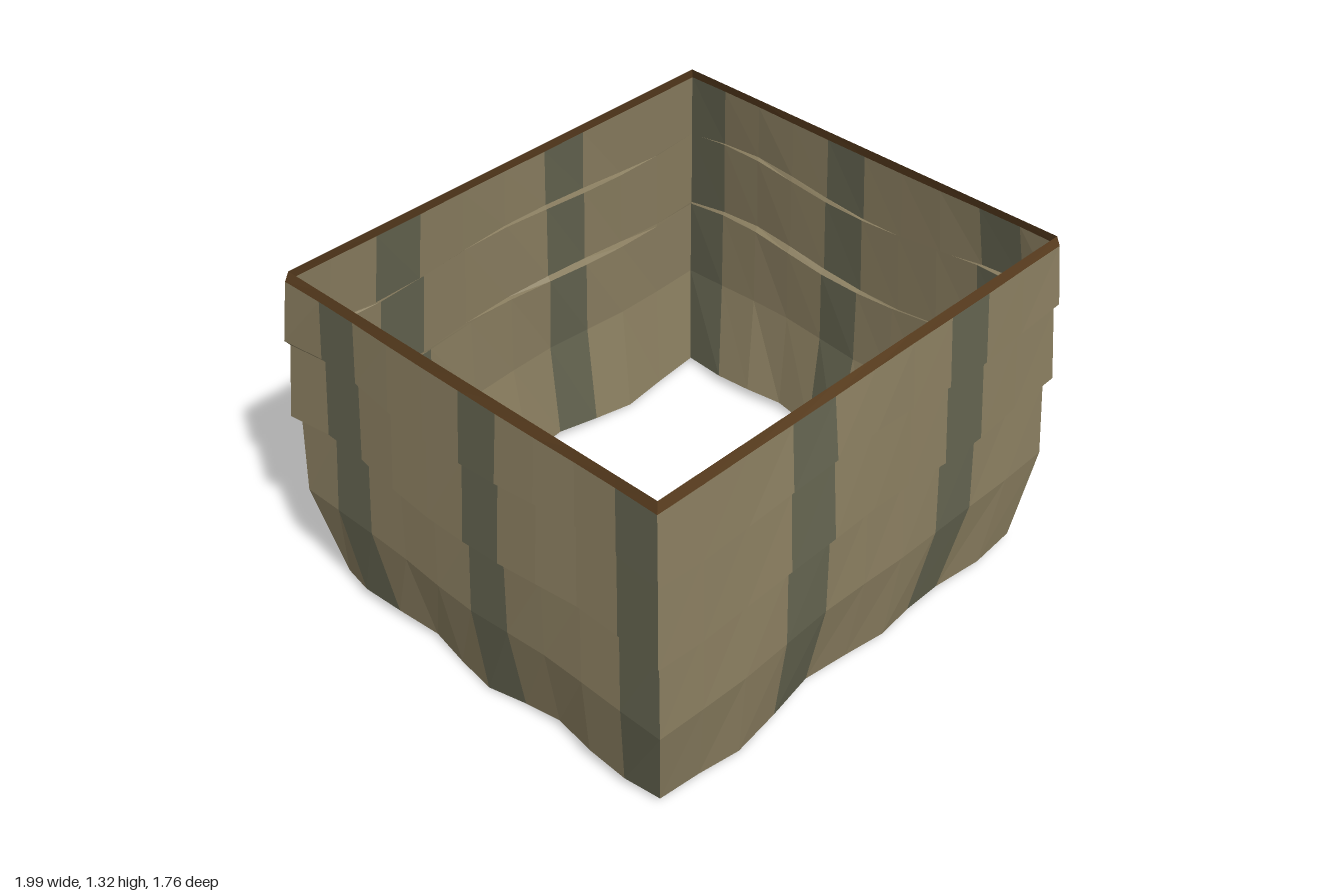
import * as THREE from 'three';

const COLS = 10;            // columns per wall
const N = COLS * 4;         // columns around the whole wrap

// Rows from hem to rim: height, half width x, half depth z,
// height wave, wave phase shift, long fold, short fold
const ROWS = [
  [0.025, 0.903, 0.792, 0.022, 0.3, 0, -0.02],
  [0.405, 0.968, 0.857, 0.014, 0, 0.003, -0.004],
  [0.722, 0.958, 0.846, 0.022, 0.7, 0.006, 0.003],
  [0.723, 0.984, 0.868, 0.028, 0, 0.011, 0.005],
  [1.035, 0.962, 0.848, 0.02, 0.7, 0.005, 0.003],
  [1.036, 0.975, 0.86, 0.026, 0, 0.009, 0.004],
  [1.285, 0.956, 0.841, 0.002, 0, 0.002, 0.001],
  [1.325, 0.945, 0.832, 0, 0, 0, 0],
];

// Point i columns round the wrap (from front -x corner) on a given row
function point(i, row) {
  const [y, hx, hz, wave, shift, long, short] = ROWS[row];
  const turn = (2 * Math.PI) / N;
  const fold = long * Math.cos(5 * turn * (i - 4)) + short * Math.cos(11 * turn * (i - 4));
  const x = hx + fold, z = hz + fold;
  const t = ((i % COLS) / COLS) * 2 - 1;
  const [px, pz] = [[t * x, z], [x, -t * z], [-t * x, -z], [-x, t * z]][Math.floor(i / COLS) % 4];
  return [px, y + wave * Math.cos(6 * turn * (i - 11 - shift)), pz];
}

// Cloth made of every cell the test accepts
function cloth(name, color, accept) {
  const pos = [];
  for (let row = 0; row < ROWS.length - 1; row++) {
    for (let i = 0; i < N; i++) {
      if (!accept(i, row)) continue;
      const a = point(i, row), b = point((i + 1) % N, row);
      const c = point((i + 1) % N, row + 1), d = point(i, row + 1);
      pos.push(...a, ...b, ...c, ...a, ...c, ...d);
    }
  }
  const geo = new THREE.BufferGeometry();
  geo.setAttribute('position', new THREE.Float32BufferAttribute(pos, 3));
  geo.computeVertexNormals();
  const mesh = new THREE.Mesh(geo, new THREE.MeshStandardMaterial({
    color, flatShading: true, side: THREE.DoubleSide,
  }));
  mesh.name = name;
  return mesh;
}

export function createModel() {
  const group = new THREE.Group();
  group.name = 'clothWrap';
  const isTrim = (row) => row === ROWS.length - 2;
  const isLedge = (row) => row === 2 || row === 4;
  const isStripe = (i, row) => i % 4 === 3 && !isTrim(row) && !isLedge(row);

  // Main canvas with its two overlapping folds
  group.add(cloth('canvas', 0x8a7e60, (i, row) => !isTrim(row) && !isStripe(i, row)));
  // Darker vertical stripes
  group.add(cloth('stripes', 0x63634f, isStripe));
  // Brown band along the top edge
  group.add(cloth('topTrim', 0x5c3f20, (i, row) => isTrim(row)));
  return group;
}
